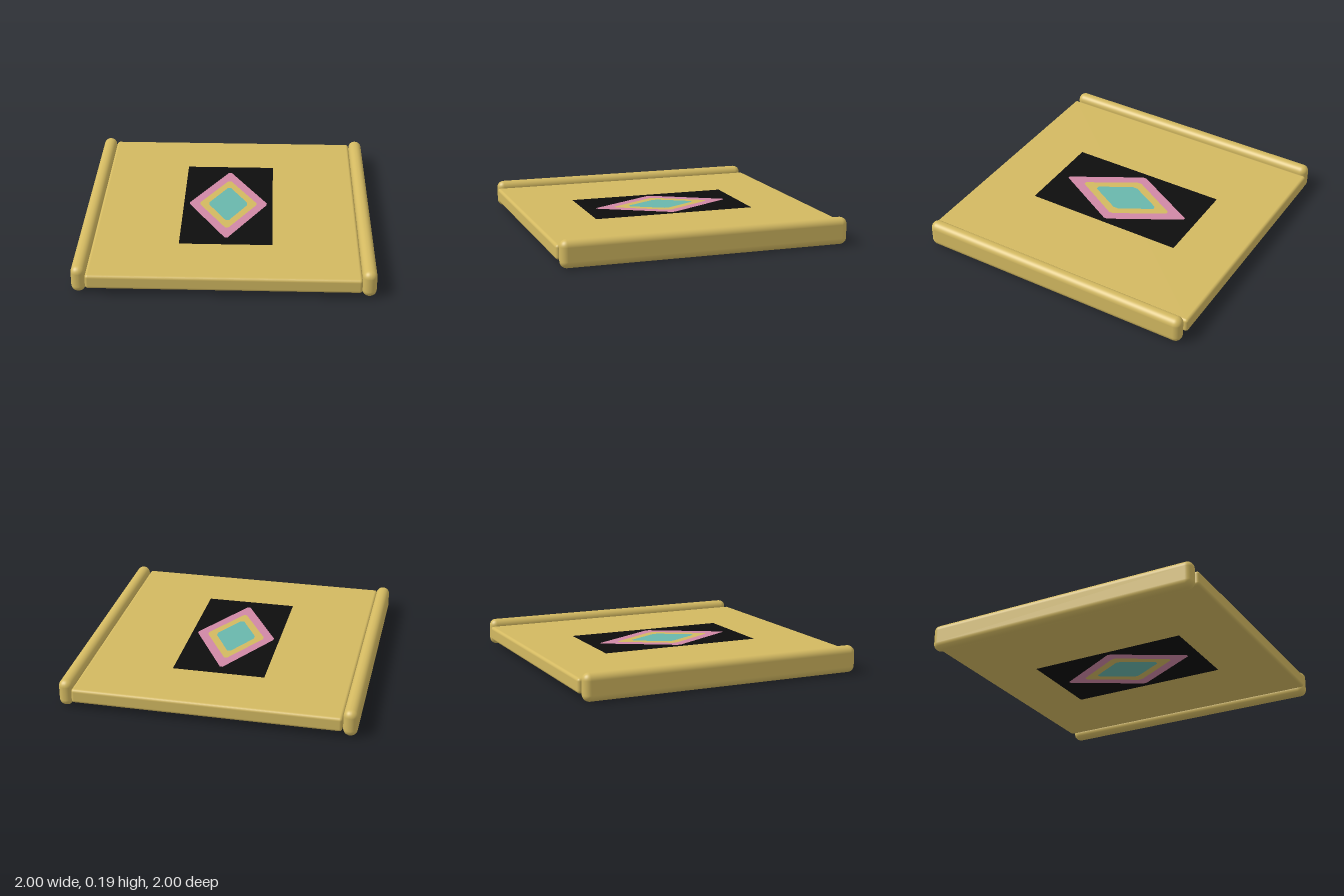
import * as THREE from 'three';
import { RoundedBoxGeometry } from 'three/addons/geometries/RoundedBoxGeometry.js';

const material = (name, color) => {
  const m = new THREE.MeshStandardMaterial({ color });
  m.name = name;
  return m;
};

// Diamond outline with slightly blunted tips: half width, half length, blunting
const diamond = (w, l, b) => [
  [b, l], [w, b * 1.4], [w, -b * 1.4], [b, -l],
  [-b, -l], [-w, -b * 1.4], [-w, b * 1.4], [-b, l],
].map(([x, y]) => new THREE.Vector2(x, y));

export function createModel() {
  const gold = material('gold', 0xd3b961);
  const black = material('black', 0x0d0d0d);
  const pink = material('pink', 0xd088a6);
  const teal = material('teal', 0x69b7ac);

  const model = new THREE.Group();
  model.name = 'panel';
  const add = (parent, name, geometry, mat, x = 0, y = 0, z = 0) => {
    const mesh = new THREE.Mesh(geometry, mat);
    mesh.name = name;
    mesh.position.set(x, y, z);
    parent.add(mesh);
    return mesh;
  };

  // Flat slab
  add(model, 'slab', new RoundedBoxGeometry(1.81, 0.1, 2, 4, 0.02), gold, 0, 0.09, 0);

  // Rounded side rails
  for (const [side, name] of [[1, 'leftRail'], [-1, 'rightRail']]) {
    add(model, name, new RoundedBoxGeometry(0.095, 0.185, 1.98, 6, 0.046), gold, side * 0.9525, 0.0925, 0);
  }

  // Nested inlay: each band is cut out for the next one
  const w = 0.317, l = 0.57;
  const rectangle = [[-w, -l], [w, -l], [w, l], [-w, l]].map(([x, y]) => new THREE.Vector2(x, y));
  const bands = [
    ['inlayField', rectangle, black],
    ['outerDiamond', diamond(0.275, 0.48, 0.009), pink],
    ['middleDiamond', diamond(0.2, 0.342, 0.011), gold],
    ['innerDiamond', diamond(0.135, 0.235, 0.013), teal],
  ];
  for (const [side, name] of [[1, 'topInlay'], [-1, 'bottomInlay']]) {
    const inlay = new THREE.Group();
    inlay.name = name;
    inlay.position.y = 0.09 + side * 0.052;
    inlay.rotation.x = -side * Math.PI / 2;
    bands.forEach(([bandName, outline, mat], i) => {
      const shape = new THREE.Shape(outline);
      if (bands[i + 1]) shape.holes.push(new THREE.Path(bands[i + 1][1]));
      add(inlay, bandName, new THREE.ShapeGeometry(shape), mat);
    });
    model.add(inlay);
  }

  return model;
}
